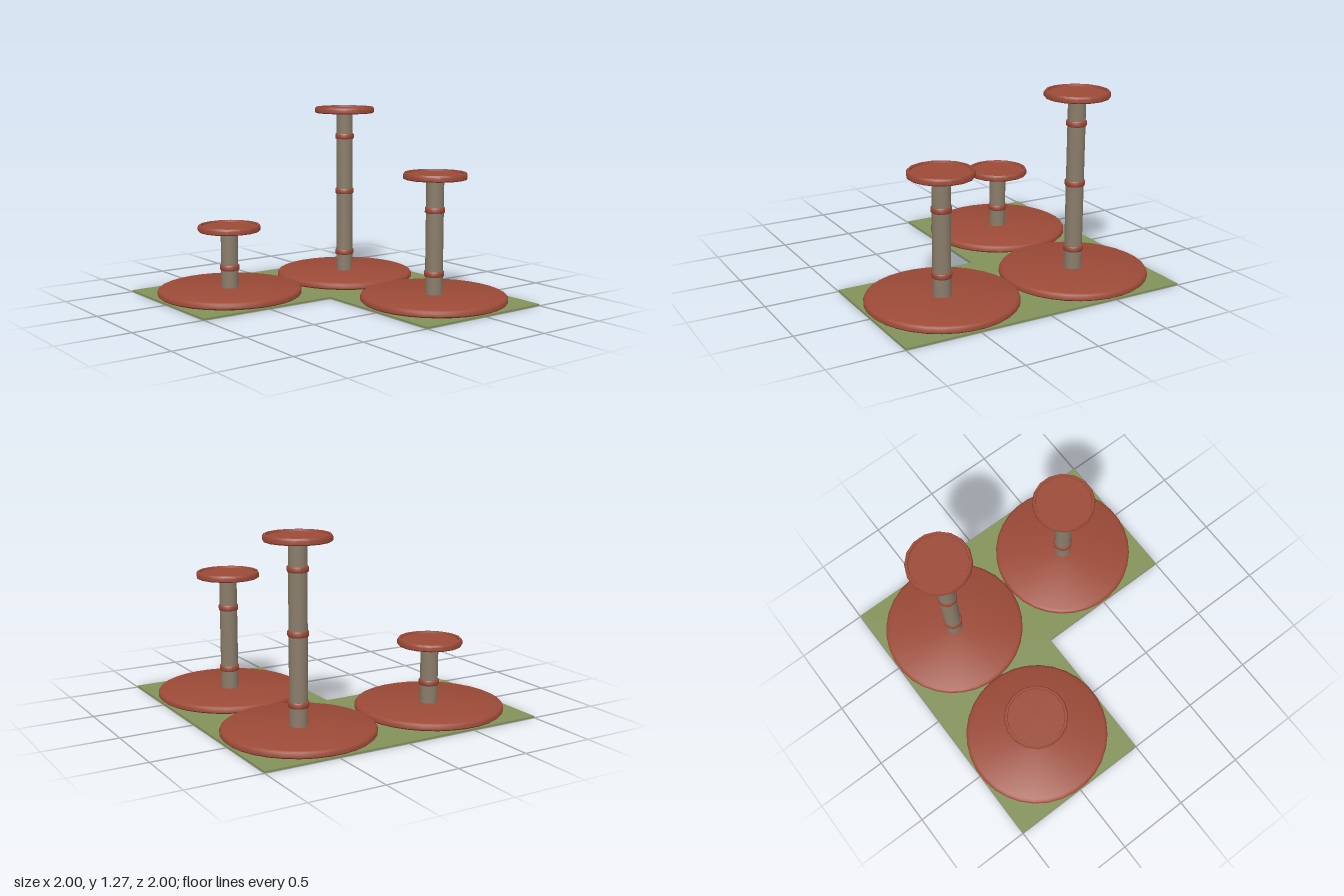
import * as THREE from 'three';
import { toCreasedNormals } from 'three/addons/utils/BufferGeometryUtils.js';

export function createModel() {
  const model = new THREE.Group();
  model.name = 'catTreePlatforms';

  const material = (name, color) => {
    const m = new THREE.MeshStandardMaterial({ color });
    m.name = name;
    return m;
  };
  const terracotta = material('terracotta', 0x9c4a37);
  const moss = material('moss green', 0x83925a);
  const taupe = material('taupe', 0x8a7d6a);

  const add = (parent, name, geometry, mat, y = 0) => {
    const mesh = new THREE.Mesh(geometry, mat);
    mesh.name = name;
    mesh.position.y = y;
    parent.add(mesh);
    return mesh;
  };

  // Lathe with sharp rims, turned so that a flat side faces front
  const turned = (profile, sides) => {
    const points = profile.map(([r, y]) => new THREE.Vector2(r, y));
    const g = new THREE.LatheGeometry(points, sides).rotateY(Math.PI / sides);
    return toCreasedNormals(g, 0.6);
  };

  // Thin L-shaped ground slab
  const outline = new THREE.Shape(
    [[-1, -1], [0, -1], [0, 0], [1, 0], [1, 1], [-1, 1]].map(([x, y]) => new THREE.Vector2(x, y))
  );
  const slab = new THREE.ExtrudeGeometry(outline, { depth: 0.012, bevelEnabled: false });
  add(model, 'groundSlab', slab.rotateX(-Math.PI / 2), moss);

  // Shared parts: round base, dished top and collar
  const baseGeometry = turned(
    [[0, 0.011], [0.488, 0.011], [0.5, 0.022], [0.5, 0.042], [0.493, 0.053], [0.478, 0.06], [0, 0.06]], 32);
  const dishGeometry = turned(
    [[0, 0], [0.211, 0], [0.217, 0.007], [0.217, 0.03], [0.21, 0.043], [0.196, 0.043], [0.193, 0.03], [0, 0.03]], 16);
  const collarGeometry = turned(
    [[0.058, -0.019], [0.064, -0.019], [0.068, -0.013], [0.068, 0.013], [0.064, 0.019], [0.058, 0.019]], 16);

  // One stand: base disc, pole, collars and dish
  const addStand = (name, x, z, dishY, collars) => {
    const stand = new THREE.Group();
    stand.name = name;
    stand.position.set(x, 0, z);
    add(stand, 'baseDisc', baseGeometry, terracotta);
    const length = dishY + 0.005 - 0.05;
    add(stand, 'pole', new THREE.CylinderGeometry(0.06, 0.06, length, 16), taupe, 0.05 + length / 2);
    collars.forEach((y) => add(stand, 'collar', collarGeometry, terracotta, y));
    add(stand, 'dish', dishGeometry, terracotta, dishY);
    model.add(stand);
  };
  addStand('shortStand', -0.5, 0.5, 0.455, [0.2]);
  addStand('tallStand', -0.5, -0.5, 1.232, [0.2, 0.655, 1.06]);
  addStand('mediumStand', 0.5, -0.5, 0.843, [0.2, 0.633]);

  return model;
}
